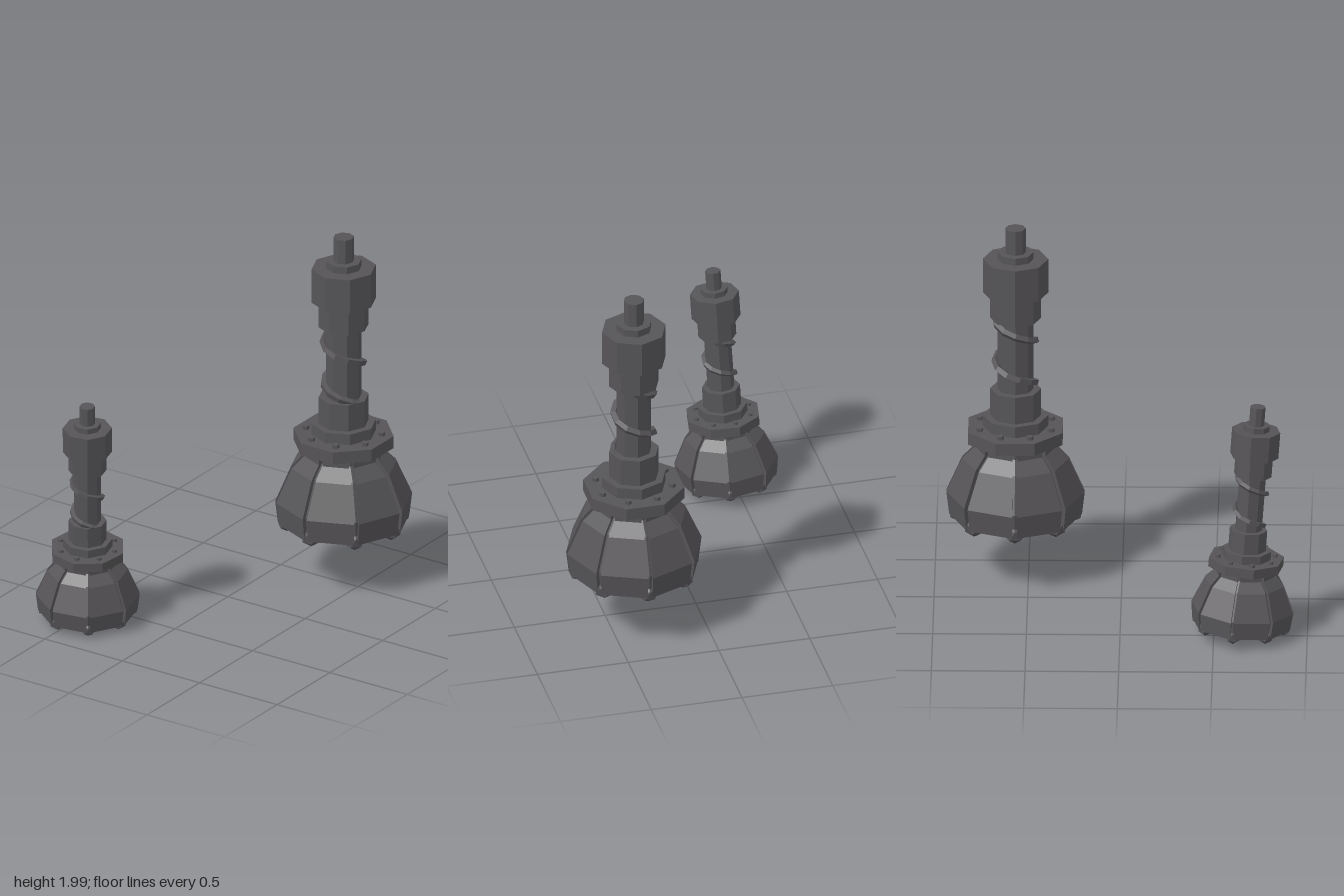
import * as THREE from 'three';

const metal = new THREE.MeshStandardMaterial({ color: 0x565457, flatShading: true });
metal.name = 'darkMetal';

function add(parent, name, geometry, x = 0, y = 0, z = 0) {
  const mesh = new THREE.Mesh(geometry, metal);
  mesh.name = name;
  mesh.position.set(x, y, z);
  parent.add(mesh);
  return mesh;
}

// Octagonal drum between two heights
function drum(parent, name, radius, y0, y1, turn = 0) {
  const g = new THREE.CylinderGeometry(radius, radius, y1 - y0, 8);
  return add(parent, name, g.rotateY(turn), 0, (y0 + y1) / 2, 0);
}

// Radius and height of the head's shell, bottom to top
const profile = [[0.36, 0.047], [0.375, 0.175], [0.29, 0.37], [0.222, 0.437], [0.222, 0.487]];

// One of eight armour plates, inset at both corners to leave a groove
function plateGeometry() {
  const gap = 0.014, depth = 0.05, pos = [];
  const corner = (r, a) => [r * Math.sin(a), r * Math.cos(a)];
  const sections = profile.map(([r, y]) => {
    const edge = (radius) => {
      const a = corner(radius, 0), b = corner(radius, Math.PI / 4);
      const t = gap / Math.hypot(b[0] - a[0], b[1] - a[1]);
      const at = (k) => [a[0] + (b[0] - a[0]) * k, y, a[1] + (b[1] - a[1]) * k];
      return [at(t), at(1 - t)];
    };
    const [l, rt] = edge(r), [il, ir] = edge(r - depth);
    return [l, rt, ir, il];
  });
  const quad = (a, b, c, d) => pos.push(...a, ...b, ...c, ...a, ...c, ...d);
  for (let i = 0; i < sections.length - 1; i++) {
    const s = sections[i], n = sections[i + 1];
    for (let j = 0; j < 4; j++) {
      const k = (j + 1) % 4;
      quad(s[j], s[k], n[k], n[j]);
    }
  }
  quad(...sections[sections.length - 1]);
  quad(...[...sections[0]].reverse());
  const g = new THREE.BufferGeometry();
  g.setAttribute('position', new THREE.Float32BufferAttribute(pos, 3));
  g.computeVertexNormals();
  return g;
}

// Spiral wrapped round the shaft
class Helix extends THREE.Curve {
  getPoint(t, target = new THREE.Vector3()) {
    const turns = -1 + 1.875 * t, a = turns * Math.PI * 2;
    return target.set(0.11 * Math.cos(a), 0.99 + 0.24 * turns, 0.11 * Math.sin(a));
  }
}

function createBit(name) {
  const bit = new THREE.Group();
  bit.name = name;

  // Head: recessed core with plates around it
  const core = profile.map(([r, y]) => new THREE.Vector2(r - 0.028, y));
  core[0].y += 0.008;
  core.unshift(new THREE.Vector2(0, core[0].y));
  add(bit, 'headCore', new THREE.LatheGeometry(core, 8));
  const plate = plateGeometry();
  for (let i = 0; i < 8; i++) add(bit, 'headPlate', plate).rotation.y = i * Math.PI / 4;

  // Cutting studs under the head: outer ring of eight, inner ring of four
  const stud = new THREE.IcosahedronGeometry(0.056, 0).rotateZ(-0.5536);
  for (const [count, radius] of [[8, 0.307], [4, 0.14]]) {
    for (let i = 0; i < count; i++) {
      const a = i / count * Math.PI * 2;
      const m = add(bit, 'cuttingStud', stud, radius * Math.cos(a), 0.056, radius * Math.sin(a));
      m.rotation.y = -a;
    }
  }

  // Bolted flange
  drum(bit, 'flange', 0.273, 0.486, 0.555, Math.PI / 8);
  const bolt = new THREE.CylinderGeometry(0.019, 0.019, 0.105, 6);
  for (let i = 0; i < 8; i++) {
    const a = (i + 0.5) * Math.PI / 4;
    add(bit, 'flangeBolt', bolt, 0.207 * Math.cos(a), 0.522, 0.207 * Math.sin(a));
  }

  // Stem, bottom to top
  drum(bit, 'baseCollar', 0.176, 0.55, 0.617);
  drum(bit, 'lowerCollar', 0.136, 0.615, 0.77);
  drum(bit, 'shaft', 0.096, 0.765, 1.185);
  drum(bit, 'upperCollar', 0.136, 1.18, 1.33);
  drum(bit, 'cap', 0.175, 1.328, 1.522);
  drum(bit, 'capRing', 0.096, 1.52, 1.562);
  drum(bit, 'topStub', 0.055, 1.56, 1.7);
  add(bit, 'spiral', new THREE.TubeGeometry(new Helix(), 20, 0.02, 4));
  return bit;
}

export function createModel() {
  const model = new THREE.Group();
  model.name = 'drillBits';

  const large = createBit('largeBit');
  large.position.set(0.36, 0.3, -0.57);

  // Smaller bit leans slightly
  const small = createBit('smallBit');
  const up = new THREE.Vector3(0, 1, 0);
  const lean = new THREE.Vector3(0.046, 1, 0.072).normalize();
  small.quaternion.setFromUnitVectors(up, lean);
  small.quaternion.multiply(new THREE.Quaternion().setFromAxisAngle(up, -0.18));
  small.scale.setScalar(0.75);
  small.position.set(-0.465, 0.03, 0.644);

  model.add(large, small);
  return model;
}
